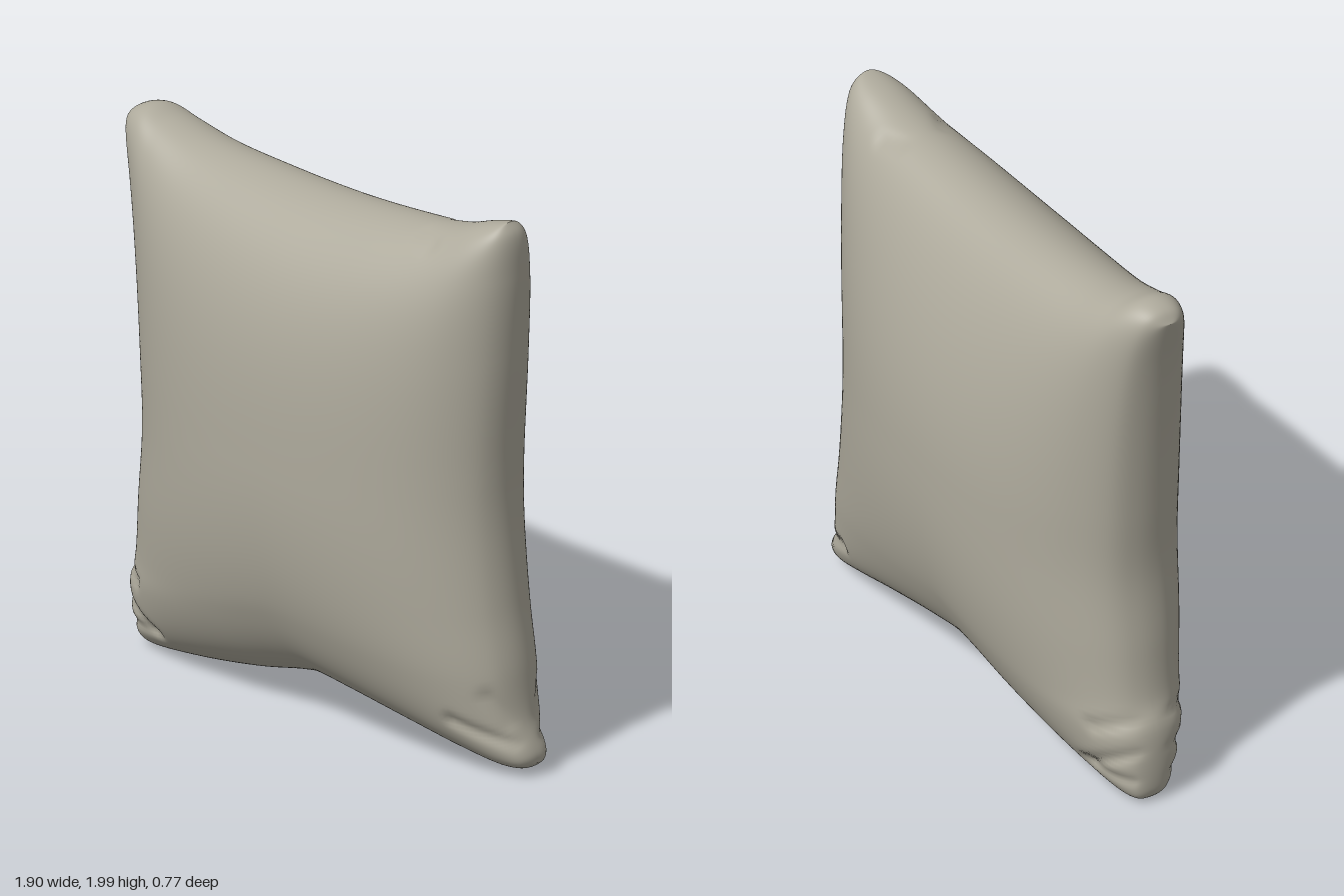
import * as THREE from 'three';
import { mergeVertices } from 'three/addons/utils/BufferGeometryUtils.js';

const N = 110; // grid steps along each side

const edge = (pts) => {
  const c = new THREE.CatmullRomCurve3(pts.map(([x, y]) => new THREE.Vector3(x, y, 0)), false, 'centripetal');
  c.arcLengthDivisions = 400;
  return c.getSpacedPoints(4 * N);
};

// Seam outline: four curved sides that meet at the corners
const TL = [-0.955, 1.915], TR = [0.845, 1.995], BL = [-0.935, 0.025], BR = [0.945, 0.05];
const top = edge([TL, [-0.925, 1.955], [-0.86, 1.975], [-0.77, 1.95], [-0.6, 1.912], [-0.3, 1.89], [0, 1.884],
  [0.3, 1.897], [0.6, 1.927], [0.75, 1.972], TR]);
const bottom = edge([BL, [-0.915, 0.01], [-0.86, 0.003], [-0.6, 0.03], [-0.3, 0.08], [-0.08, 0.13], [0.02, 0.144],
  [0.2, 0.126], [0.5, 0.08], [0.7, 0.045], [0.86, 0.023], [0.92, 0.03], BR]);
const left = edge([BL, [-0.944, 0.06], [-0.938, 0.28], [-0.9, 0.38], [-0.87, 0.6], [-0.842, 0.85], [-0.85, 1.1],
  [-0.88, 1.5], [-0.91, 1.72], TL]);
const right = edge([BR, [0.947, 0.08], [0.91, 0.2], [0.89, 0.4], [0.86, 0.6], [0.832, 0.9], [0.832, 1.1], [0.86, 1.5],
  [0.877, 1.8], [0.87, 1.95], TR]);

const sample = (pts, t) => {
  const f = t * (pts.length - 1), i = Math.min(Math.floor(f), pts.length - 2);
  return pts[i].clone().lerp(pts[i + 1], f - i);
};
const mix = (a, b, t) => a + (b - a) * t;
const bilinear = (bl, br, tl, tr, s, t) => mix(mix(bl, br, s), mix(tl, tr, s), t);

// Fabric folds near the corners: x1, y1, x2, y2, depth
const folds = [
  [-0.93, 0.33, -0.8, 0.29, 0.018], [-0.93, 0.21, -0.73, 0.11, 0.018], [-0.92, 0.1, -0.76, 0.11, 0.012],
  [0.92, 0.13, 0.73, 0.2, 0.016], [0.9, 0.2, 0.85, 0.3, 0.014], [0.52, 1.9, 0.6, 1.88, 0.012],
];
function foldDepth(x, y) {
  let sum = 0;
  for (const [x1, y1, x2, y2, depth] of folds) {
    const dx = x2 - x1, dy = y2 - y1;
    const t = THREE.MathUtils.clamp(((x - x1) * dx + (y - y1) * dy) / (dx * dx + dy * dy), 0, 1);
    const d = Math.hypot(x - x1 - t * dx, y - y1 - t * dy);
    sum += depth * Math.exp(-((d / 0.022) ** 2));
  }
  return sum;
}

// Swell across one direction, and a soft minimum of both that keeps the corners full
const swell = (w, power) => Math.sqrt(Math.max(1e-6, 1 - Math.abs(w) ** power));
const fullness = (f, g) => (f ** -1.5 + g ** -1.5 - 1) ** (-1 / 1.5);

// A point of the cushion; side is 1 for the front panel, -1 for the back panel
function surfacePoint(i, j, side) {
  const u = Math.sin((i / N - 0.5) * Math.PI), v = Math.sin((j / N - 0.5) * Math.PI);
  const s = (u + 1) / 2, t = (v + 1) / 2;
  const b = sample(bottom, s), a = sample(top, s), l = sample(left, t), r = sample(right, t);
  const x = mix(b.x, a.x, t) + mix(l.x, r.x, s) - bilinear(BL[0], BR[0], TL[0], TR[0], s, t);
  const y = mix(b.y, a.y, t) + mix(l.y, r.y, s) - bilinear(BL[1], BR[1], TL[1], TR[1], s, t);
  const onSeam = i === 0 || j === 0 || i === N || j === N;
  let h = onSeam ? 0 : 0.387 * fullness(swell(u, 2.1), swell(v, 2.3));
  h -= foldDepth(x, y) * Math.min(1, h / 0.08);
  // the seam wanders out of plane at the corners and the upper half leans forward
  const drift = bilinear(-0.03, -0.05, 0.03, -0.02, s, t) * (u * v) ** 2;
  const lean = 0.07 * Math.max(0, v) ** 2 * (1 - v * v) * (1 - u * u);
  return [x, y, drift + lean + side * h];
}

function cushionGeometry() {
  const positions = [], indices = [];
  for (const side of [1, -1]) {
    const base = positions.length / 3;
    for (let j = 0; j <= N; j++) for (let i = 0; i <= N; i++) positions.push(...surfacePoint(i, j, side));
    for (let j = 0; j < N; j++) {
      for (let i = 0; i < N; i++) {
        const a = base + j * (N + 1) + i, b = a + 1, c = b + N + 1, d = a + N + 1;
        if (side > 0) indices.push(a, b, c, a, c, d);
        else indices.push(a, c, b, a, d, c);
      }
    }
  }
  const g = new THREE.BufferGeometry();
  g.setAttribute('position', new THREE.Float32BufferAttribute(positions, 3));
  g.setIndex(indices);
  const welded = mergeVertices(g, 1e-5); // joins both panels along the seam
  welded.computeVertexNormals();
  return welded;
}

export function createModel() {
  const fabric = new THREE.MeshStandardMaterial({ color: 0xaeaa9c });
  fabric.name = 'warm grey fabric';
  const cushion = new THREE.Mesh(cushionGeometry(), fabric);
  cushion.name = 'cushion';
  const group = new THREE.Group();
  group.name = 'throwPillow';
  group.add(cushion);
  return group;
}
